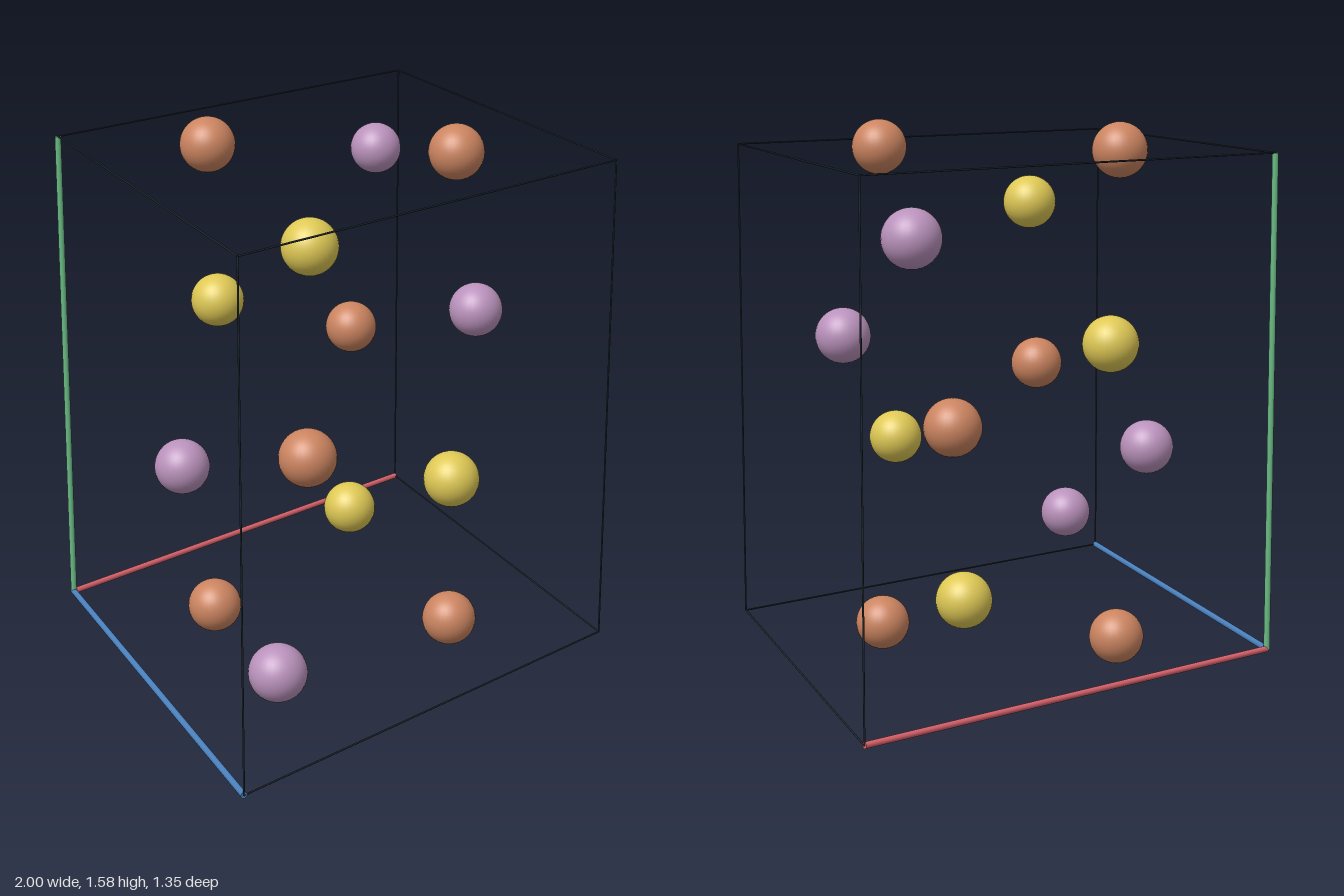
import * as THREE from 'three';

const mat = (name, color) => {
  const m = new THREE.MeshStandardMaterial({ color });
  m.name = name;
  return m;
};

export function createModel() {
  const model = new THREE.Group();
  model.name = 'crystalUnitCell';

  const copper = mat('copper', 0xcb8460);
  const yellow = mat('yellow', 0xdec855);
  const purple = mat('purple', 0xba92bc);
  const slate = mat('darkSlate', 0x20292f);
  const red = mat('red', 0xd9626c);
  const green = mat('green', 0x68b882);
  const blue = mat('blue', 0x4a80bd);

  // Thin smooth rod between two points
  const rod = (name, a, b, radius, material) => {
    const dir = b.clone().sub(a);
    const mesh = new THREE.Mesh(new THREE.CylinderGeometry(radius, radius, dir.length(), 24), material);
    mesh.position.copy(a).add(b).multiplyScalar(0.5);
    mesh.quaternion.setFromUnitVectors(new THREE.Vector3(0, 1, 0), dir.normalize());
    mesh.name = name;
    model.add(mesh);
  };

  // Slanted cell: one origin corner and three edge vectors
  const centre = new THREE.Vector3(0.002, 0.791, 0.003);
  const edges = [
    { name: 'redAxis', v: new THREE.Vector3(1.442, 0, 0), material: red },
    { name: 'greenAxis', v: new THREE.Vector3(0, 1.422, 0), material: green },
    { name: 'blueAxis', v: new THREE.Vector3(-0.55, 0, 1.34), material: blue },
  ];
  const origin = centre.clone();
  for (const e of edges) origin.addScaledVector(e.v, -0.5);
  edges.forEach((e, i) => {
    const p = edges[(i + 1) % 3].v, q = edges[(i + 2) % 3].v;
    for (const s of [0, 1]) for (const t of [0, 1]) {
      const a = origin.clone().addScaledVector(p, s).addScaledVector(q, t);
      const isAxis = s + t === 0;
      rod(isAxis ? e.name : 'cellEdge', a, a.clone().add(e.v), isAxis ? 0.009 : 0.0025, isAxis ? e.material : slate);
    }
  });

  // Atoms come in pairs, inverted through the cell centre (offsets from it)
  const ball = new THREE.SphereGeometry(0.08, 32, 24);
  const atomPairs = [
    ['copperAtom', copper, [[0.213, 0.711, 0.285], [-0.213, 0.711, -0.285], [0.481, 0, -0.386]]],
    ['yellowAtom', yellow, [[-0.322, 0.527, 0.236], [-0.044, 0.185, -0.436]]],
    ['purpleAtom', purple, [[0.695, 0.527, -0.486], [0.423, 0.185, 0.185]]],
  ];
  for (const [name, material, points] of atomPairs) {
    for (const [x, y, z] of points) for (const s of [1, -1]) {
      const atom = new THREE.Mesh(ball, material);
      atom.position.set(x, y, z).multiplyScalar(s).add(centre);
      atom.name = name;
      model.add(atom);
    }
  }
  return model;
}
